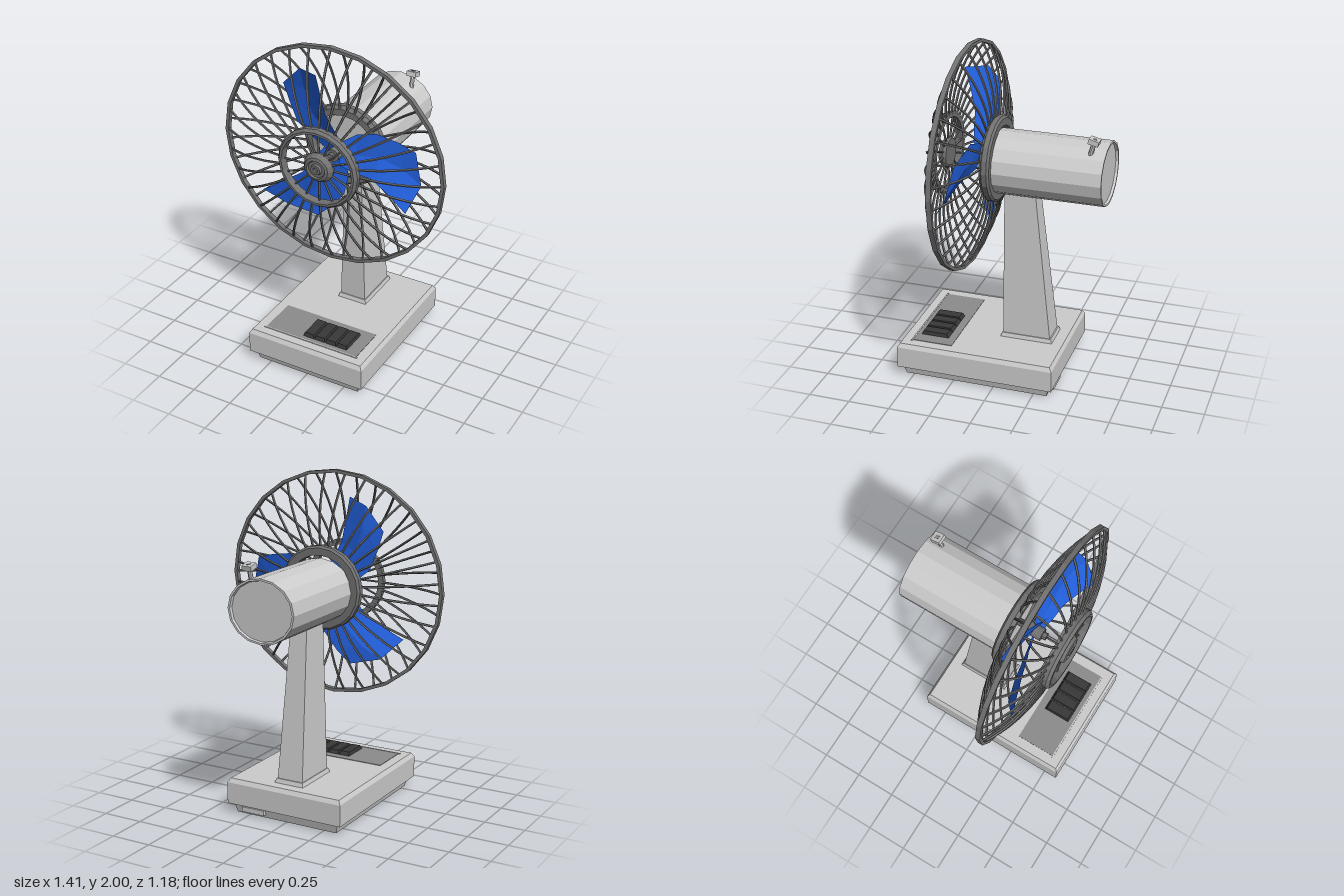
import * as THREE from 'three';

const mat = (name, color, side = THREE.FrontSide) => {
  const m = new THREE.MeshStandardMaterial({ color, side });
  m.name = name;
  return m;
};

// Faceted normals for the low-poly look
const flat = (g) => {
  const n = g.index ? g.toNonIndexed() : g;
  n.computeVertexNormals();
  return n;
};

// Box whose top face may differ in size and position from its bottom face
function taperBox(bottom, top, y0, y1) {
  const g = new THREE.BoxGeometry(1, 1, 1);
  const p = g.attributes.position;
  for (let i = 0; i < p.count; i++) {
    const up = p.getY(i) > 0;
    const [xa, xb, za, zb] = up ? top : bottom;
    p.setXYZ(i, p.getX(i) > 0 ? xb : xa, up ? y1 : y0, p.getZ(i) > 0 ? zb : za);
  }
  return flat(g);
}

// Profile of [radius, z] points turned around the z axis
function turned(points, sides) {
  const g = new THREE.LatheGeometry(points.map(([r, z]) => new THREE.Vector2(r, z)), sides);
  return flat(g.rotateX(Math.PI / 2));
}

export function createModel() {
  const model = new THREE.Group();
  model.name = 'deskFan';
  const casing = mat('lightGreyCasing', 0xcccccc);
  const metal = mat('darkGreyGuard', 0x727272);
  const blue = mat('blueBlade', 0x2362e2, THREE.DoubleSide);
  const black = mat('blackKeys', 0x383838);
  const panelGrey = mat('greyPanel', 0x8c8c8c);

  const add = (name, geometry, material, parent = model) => {
    const m = new THREE.Mesh(geometry, material);
    m.name = name;
    parent.add(m);
    return m;
  };

  // Base: tapered foot, body, bevelled top
  const body = [-0.375, 0.385, -0.37, 0.59];
  const bodyTop = [-0.36, 0.37, -0.355, 0.575];
  add('baseFoot', taperBox([-0.33, 0.34, -0.33, 0.55], [-0.345, 0.355, -0.345, 0.565], 0, 0.06), casing);
  add('baseBody', taperBox(body, body, 0.06, 0.19), casing);
  add('baseTop', taperBox(body, bodyTop, 0.19, 0.215), casing);
  const slot = [0.14, 0.29, -0.36, -0.32];
  add('cordInlet', taperBox(slot, slot, 0.02, 0.05), casing);

  // Control panel and four push keys
  const panel = [-0.3, 0.31, 0.27, 0.515];
  add('controlPanel', taperBox(panel, panel, 0.212, 0.218), panelGrey);
  const lip = [-0.31, 0.32, 0.515, 0.523];
  add('panelLip', taperBox(lip, lip, 0.212, 0.22), casing);
  for (let i = 0; i < 4; i++) {
    const x = -0.06 + i * 0.074;
    add('key' + (i + 1), taperBox([x, x + 0.071, 0.315, 0.488], [x + 0.006, x + 0.065, 0.33, 0.478], 0.215, 0.24), black);
  }

  // Pedestal with a collar at its foot
  add('pedestalCollar', taperBox([-0.085, 0.105, -0.29, 0.03], [-0.078, 0.098, -0.282, 0.022], 0.215, 0.24), casing);
  add('pedestal', taperBox([-0.073, 0.093, -0.275, 0.017], [-0.043, 0.063, -0.168, 0.017], 0.235, 1.17), casing);

  // Motor housing: oval barrel with a recessed back
  const motor = new THREE.Group();
  motor.name = 'motor';
  motor.position.set(0.003, 1.315, 0);
  motor.scale.y = 0.875;
  model.add(motor);
  add('motorHousing', turned([[0, -0.575], [0.195, -0.575], [0.2, -0.59], [0.213, -0.59], [0.213, 0.07], [0, 0.07]], 16), casing, motor);

  // Oscillation knob, leaning back
  const knob = new THREE.Group();
  knob.name = 'knob';
  knob.position.set(0.115, 1.455, -0.5);
  knob.rotation.x = -0.25;
  model.add(knob);
  add('knobStem', flat(new THREE.CylinderGeometry(0.014, 0.014, 0.09, 8).translate(0, 0.04, 0)), casing, knob);
  add('knobHead', flat(new THREE.BoxGeometry(0.06, 0.03, 0.06).translate(0, 0.092, 0)), casing, knob);
  add('knobDimple', flat(new THREE.BoxGeometry(0.022, 0.004, 0.022).translate(0, 0.107, 0)), panelGrey, knob);

  // Head: guard and blades share one slightly squashed group
  const head = new THREE.Group();
  head.name = 'fanHead';
  head.position.set(0, 1.325, 0);
  head.scale.y = 0.955;
  model.add(head);

  add('rimRing', turned([[0.685, 0.225], [0.705, 0.225], [0.705, 0.255], [0.685, 0.255], [0.685, 0.225]], 24), metal, head);
  add('frontRing', turned([[0.22, 0.37], [0.254, 0.37], [0.254, 0.4], [0.24, 0.418], [0.225, 0.418], [0.22, 0.37]], 20), metal, head);
  add('rearFlange', turned([[0.205, 0.05], [0.25, 0.05], [0.263, 0.062], [0.263, 0.092], [0.245, 0.112], [0.205, 0.112], [0.205, 0.05]], 20), metal, head);

  // Bowed guard wires, front and rear sets staggered
  const wirePath = [[0.235, 0.135], [0.36, 0.126], [0.5, 0.092], [0.61, 0.048], [0.695, 0]];
  const wires = 32;
  for (const [name, dir, phase] of [['frontWire', 1, 0], ['rearWire', -1, 0.5]]) {
    const curve = new THREE.CatmullRomCurve3(wirePath.map(([r, b]) => new THREE.Vector3(r, 0, 0.24 + dir * b)));
    const wire = flat(new THREE.TubeGeometry(curve, 7, 0.0075, 5));
    for (let i = 0; i < wires; i++) {
      add(name, wire, metal, head).rotation.z = ((i + phase) / wires) * Math.PI * 2;
    }
  }

  // Guard centre cap with short spokes to the front ring
  add('centreCap', turned([[0, 0.365], [0.09, 0.365], [0.095, 0.385], [0.075, 0.415], [0.058, 0.42],
    [0.052, 0.41], [0.035, 0.41], [0.03, 0.424], [0.015, 0.424], [0.012, 0.414], [0, 0.414]], 16), metal, head);
  const spoke = flat(new THREE.CylinderGeometry(0.0065, 0.0065, 0.15, 5).rotateZ(Math.PI / 2).translate(0.155, 0, 0.382));
  for (let i = 0; i < 16; i++) add('capSpoke', spoke, metal, head).rotation.z = (i / 16) * Math.PI * 2;

  // Shaft and blade hub
  add('shaft', turned([[0, 0.06], [0.022, 0.06], [0.022, 0.26], [0, 0.26]], 10), metal, head);
  add('bladeHub', turned([[0, 0.12], [0.04, 0.12], [0.04, 0.235], [0, 0.235]], 12), metal, head);

  // Three twisted blades: rows of leading, middle and trailing points
  const rows = [
    [[0.02, 0.065, 0.165], [0.02, 0, 0.18], [0.02, -0.075, 0.2]],
    [[0.11, 0.13, 0.15], [0.13, 0.01, 0.18], [0.13, -0.085, 0.22]],
    [[0.24, 0.175, 0.16], [0.27, 0.035, 0.175], [0.25, -0.09, 0.23]],
    [[0.38, 0.155, 0.16], [0.42, 0, 0.18], [0.38, -0.15, 0.26]],
    [[0.49, 0.125, 0.17], [0.545, -0.06, 0.205], [0.495, -0.21, 0.295]],
  ];
  const index = [];
  for (let r = 0; r < rows.length - 1; r++) {
    for (let c = 0; c < 2; c++) {
      const a = r * 3 + c;
      index.push(a, a + 1, a + 3, a + 1, a + 4, a + 3);
    }
  }
  const bladeShape = new THREE.BufferGeometry();
  bladeShape.setAttribute('position', new THREE.Float32BufferAttribute(rows.flat(2), 3));
  bladeShape.setIndex(index);
  const blade = flat(bladeShape);
  for (let i = 0; i < 3; i++) add('blade' + (i + 1), blade, blue, head).rotation.z = (i * Math.PI * 2) / 3;

  return model;
}
